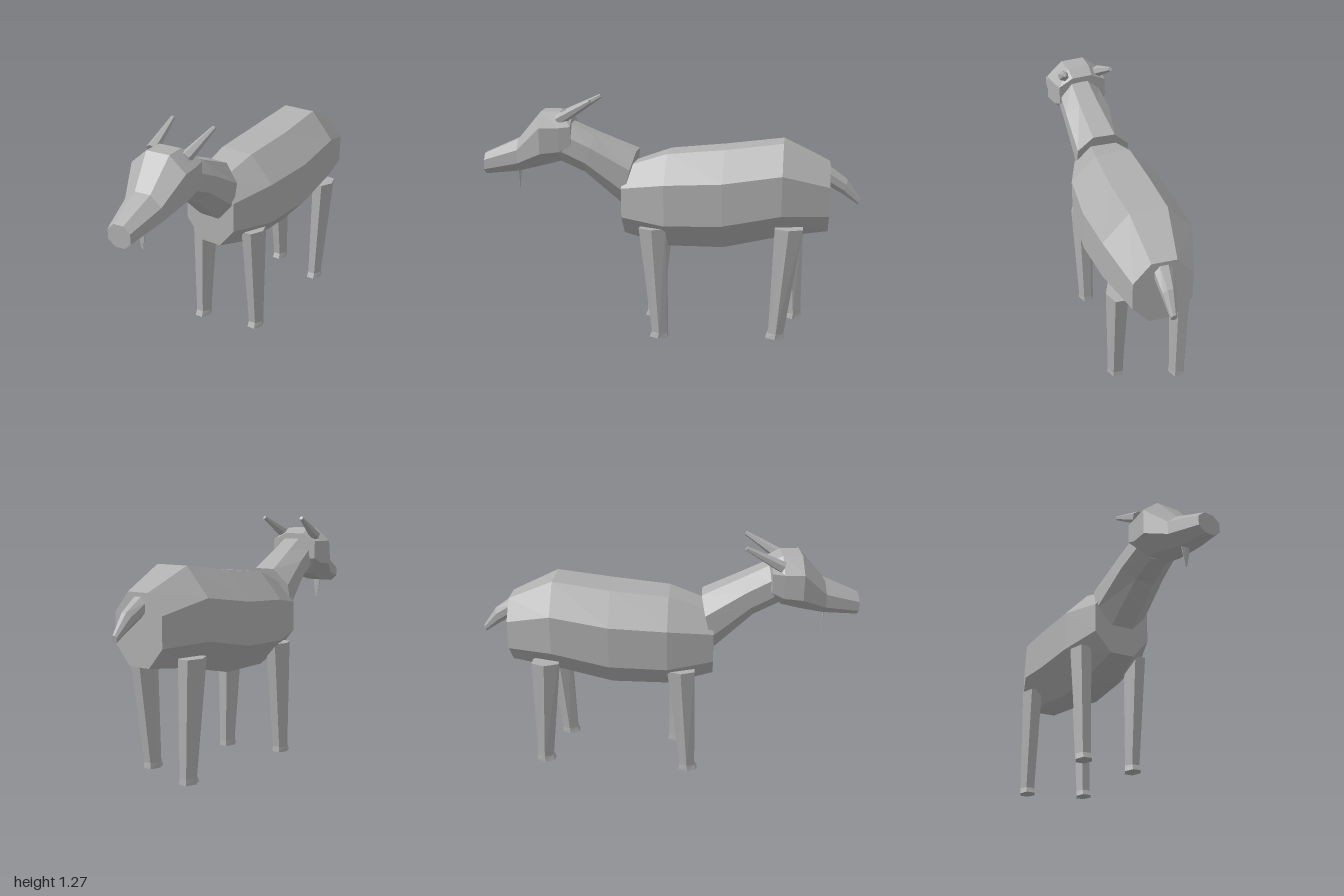
import * as THREE from 'three';

const coat = new THREE.MeshStandardMaterial({ color: 0xb0b0b0, flatShading: true });
coat.name = 'grey coat';

// Skin a row of equal rings (counter-clockwise seen from the last ring) and cap both ends.
function loft(name, rings) {
  const pos = [];
  const tri = (...pts) => pts.forEach((p) => pos.push(...p));
  const n = rings[0].length;
  for (let i = 0; i < rings.length - 1; i++) {
    for (let j = 0; j < n; j++) {
      const k = (j + 1) % n;
      const [a, b, c, d] = [rings[i][j], rings[i][k], rings[i + 1][k], rings[i + 1][j]];
      tri(a, b, c);
      tri(a, c, d);
    }
  }
  const first = rings[0], last = rings[rings.length - 1];
  for (let j = 1; j < n - 1; j++) {
    tri(first[0], first[j + 1], first[j]);
    tri(last[0], last[j], last[j + 1]);
  }
  const geo = new THREE.BufferGeometry();
  geo.setAttribute('position', new THREE.Float32BufferAttribute(pos, 3));
  geo.computeVertexNormals();
  const mesh = new THREE.Mesh(geo, coat);
  mesh.name = name;
  return mesh;
}

// Eight-sided cross-section facing z; shear leans its top towards -z.
function octagon(z, w, top, bottom, { cx = 0, shear = 0, upper, lower } = {}) {
  const mid = (top + bottom) / 2, h = (top - bottom) / 2, f = w * 0.42;
  const u = upper ?? mid + h * 0.41, l = lower ?? mid - h * 0.41;
  return [[f, bottom], [w, l], [w, u], [f, top], [-f, top], [-w, u], [-w, l], [-f, bottom]]
    .map(([x, y]) => [cx + x, y, z - (y - mid) * shear]);
}

// Leg slanting from hip to foot, with a slightly flared hoof.
function leg(name, side, topY, topZ, footY, footZ) {
  const ring = (x, y, z, rx, rz) => Array.from({ length: 6 }, (_, i) => {
    const a = (i * Math.PI) / 3;
    return [side * x + Math.cos(a) * rx, y, z - Math.sin(a) * rz];
  });
  return loft(name, [
    ring(0.154, footY, footZ + 0.005, 0.044, 0.056),
    ring(0.154, footY + 0.03, footZ, 0.041, 0.047),
    ring(0.158, topY, topZ, 0.058, 0.082),
  ]);
}

// Tapered six-sided spike between two points.
function spike(name, from, to, r0, r1) {
  const a = new THREE.Vector3(...from), b = new THREE.Vector3(...to);
  const mesh = new THREE.Mesh(new THREE.CylinderGeometry(r1, r0, a.distanceTo(b), 6), coat);
  mesh.position.copy(a).add(b).multiplyScalar(0.5);
  mesh.quaternion.setFromUnitVectors(new THREE.Vector3(0, 1, 0), b.sub(a).normalize());
  mesh.name = name;
  return mesh;
}

export function createModel() {
  const model = new THREE.Group();
  model.name = 'goat';

  // Barrel-shaped body, rump to chest
  model.add(loft('body', [
    octagon(-0.84, 0.145, 0.95, 0.6, { upper: 0.85, lower: 0.7 }),
    octagon(-0.6, 0.22, 1.06, 0.57, { upper: 0.915, lower: 0.71 }),
    octagon(-0.3, 0.237, 1.02, 0.5, { upper: 0.87, lower: 0.65 }),
    octagon(0, 0.222, 0.99, 0.495, { upper: 0.85, lower: 0.635 }),
    octagon(0.235, 0.15, 0.91, 0.55, { upper: 0.81, lower: 0.655 }),
  ]));

  // Neck leaning forward and a little to the left
  model.add(loft('neck', [
    octagon(0.205, 0.14, 0.99, 0.705, { shear: 0.25 }),
    octagon(0.41, 0.122, 1.08, 0.88, { cx: 0.03, shear: 0.3 }),
    octagon(0.54, 0.11, 1.14, 0.94, { cx: 0.045, shear: 0.3 }),
  ]));

  // Head, turned slightly to the left
  const head = new THREE.Group();
  head.name = 'head';
  head.position.set(0.04, 0, 0.6);
  head.rotation.y = 0.11;
  head.add(loft('skull', [
    octagon(-0.09, 0.133, 1.17, 1.02, { upper: 1.13, lower: 1.03 }),
    octagon(-0.03, 0.142, 1.2, 0.94, { upper: 1.125, lower: 1.0 }),
    octagon(0.07, 0.15, 1.2, 0.915, { upper: 1.125, lower: 0.99 }),
    octagon(0.2, 0.1, 1.05, 0.88, { upper: 1.0, lower: 0.93 }),
    octagon(0.385, 0.061, 0.97, 0.86, { upper: 0.94, lower: 0.89 }),
  ]));
  model.add(head);

  // Horns
  model.add(spike('rightHorn', [-0.072, 1.158, 0.575], [-0.096, 1.262, 0.388], 0.032, 0.011));
  model.add(spike('leftHorn', [0.122, 1.158, 0.565], [0.154, 1.262, 0.388], 0.032, 0.011));

  // Flat beard under the chin
  const beard = spike('beard', [0.055, 0.9, 0.81], [0.055, 0.775, 0.81], 0.03, 0.006);
  beard.scale.z = 0.2;
  model.add(beard);

  // Tail, tip to root
  model.add(loft('tail', [
    octagon(-0.995, 0.015, 0.77, 0.735, { shear: 0.3 }),
    octagon(-0.92, 0.032, 0.866, 0.79, { shear: 0.3 }),
    octagon(-0.82, 0.048, 0.935, 0.85, { shear: 0.3 }),
  ]));

  // Legs, caught in mid stride
  model.add(
    leg('leftFrontLeg', 1, 0.61, 0.065, 0, 0.03),
    leg('rightFrontLeg', -1, 0.61, 0.07, 0, 0.105),
    leg('leftHindLeg', 1, 0.635, -0.64, 0.03, -0.592),
    leg('rightHindLeg', -1, 0.635, -0.645, 0.03, -0.68),
  );
  return model;
}
